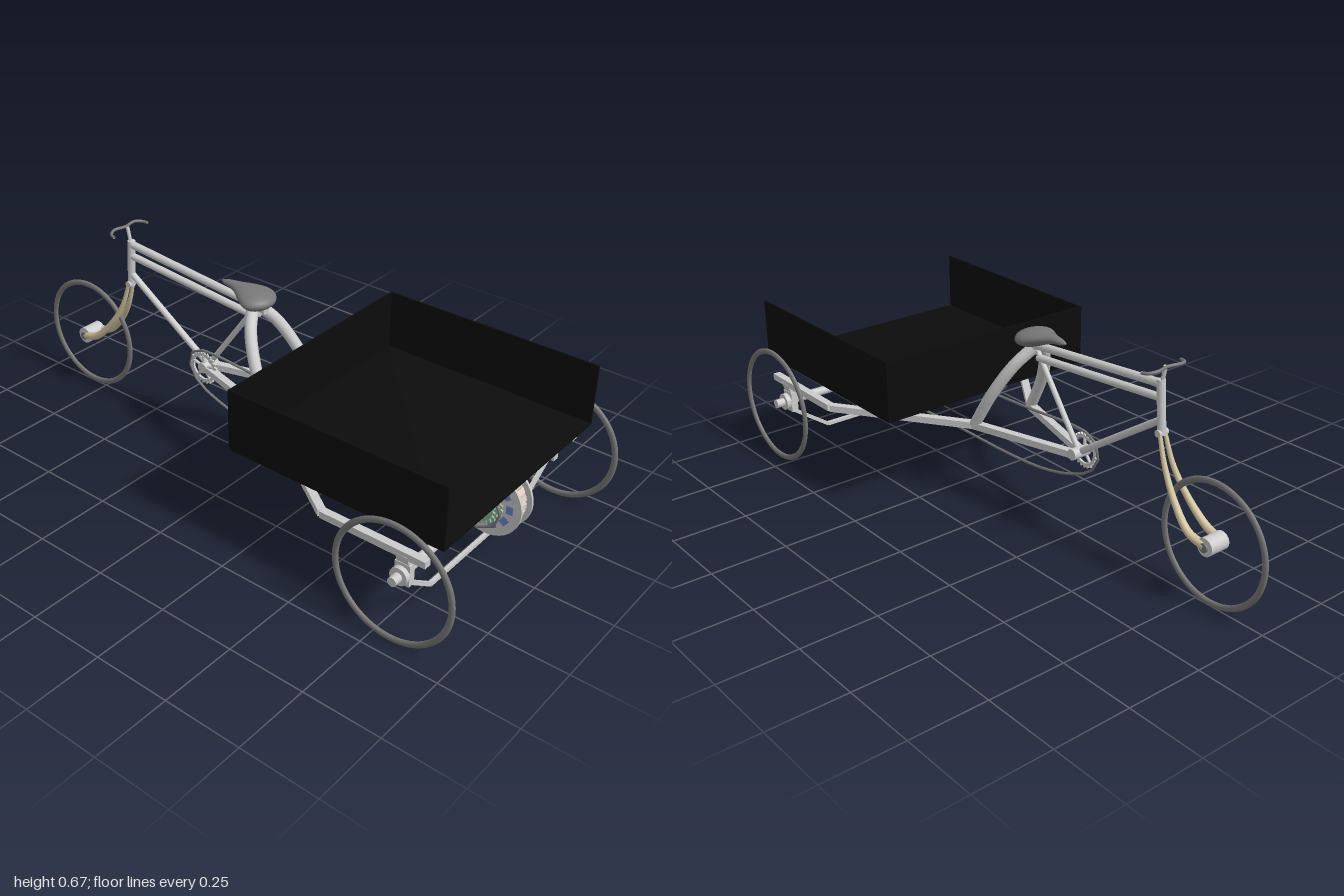
import * as THREE from 'three';

const mat = (color) => new THREE.MeshStandardMaterial({ color, side: THREE.DoubleSide });
const V = (x, y, z) => new THREE.Vector3(x, y, z);

export function createModel() {
  const model = new THREE.Group();
  const grey = mat(0xcccccc), dark = mat(0x777777), black = mat(0x0c0c0c);
  const beige = mat(0xd2c4a0), blue = mat(0x7585d0), green = mat(0x8fb596), pink = mat(0xe0cfc6);

  const add = (name, geo, m = grey, x = 0, y = 0, z = 0) => {
    const mesh = new THREE.Mesh(geo, m);
    mesh.name = name;
    mesh.position.set(x, y, z);
    model.add(mesh);
    return mesh;
  };
  const box = (name, w, h, d, x, y, z, m) => add(name, new THREE.BoxGeometry(w, h, d), m, x, y, z);
  // round rod between two points
  const rod = (name, a, b, r, m) => {
    const mesh = add(name, new THREE.CylinderGeometry(r, r, a.distanceTo(b), 16), m);
    mesh.position.copy(a).lerp(b, 0.5);
    mesh.quaternion.setFromUnitVectors(V(0, 1, 0), b.clone().sub(a).normalize());
  };
  // square bar between two points
  const bar = (name, a, b, w, h, m) => {
    const mesh = add(name, new THREE.BoxGeometry(w, h, a.distanceTo(b)), m);
    mesh.position.copy(a).lerp(b, 0.5);
    mesh.lookAt(b);
  };
  // disc lying across the model, from x0 to x1
  const disc = (name, x0, x1, r, y, z, m, n = 40) =>
    rodX(name, new THREE.CylinderGeometry(r, r, x1 - x0, n), (x0 + x1) / 2, y, z, m);
  const rodX = (name, geo, x, y, z, m) => add(name, geo.rotateZ(Math.PI / 2), m, x, y, z);
  // curved tube whose radius runs from r0 to r1
  const tube = (name, pts, r0, r1, m, closed = false) => {
    const curve = new THREE.CatmullRomCurve3(pts, closed, 'centripetal');
    const n = 48, sides = 12, geo = new THREE.TubeGeometry(curve, n, 1, sides, closed);
    const pos = geo.attributes.position;
    for (let i = 0; i < pos.count; i++) {
      const t = Math.floor(i / (sides + 1)) / n, c = curve.getPointAt(t);
      const p = V(0, 0, 0).fromBufferAttribute(pos, i).sub(c).multiplyScalar(r0 + (r1 - r0) * t).add(c);
      pos.setXYZ(i, p.x, p.y, p.z);
    }
    return add(name, geo, m);
  };

  // wheels: bare tyre rings
  for (const [name, x, z] of [['frontWheel', 0, -0.803], ['cargoWheelLeft', 0.445, 0.805], ['cargoWheelRight', -0.445, 0.805]]) {
    const geo = new THREE.TorusGeometry(0.188, 0.01, 12, 72).scale(1, 1, 0.7).rotateY(Math.PI / 2);
    add(name, geo, dark, x, 0.198, z);
  }

  // cargo tray, open at the tail
  box('trayFloor', 0.79, 0.006, 0.735, 0, 0.333, 0.557, black);
  box('trayEndWall', 0.79, 0.2, 0.006, 0, 0.43, 0.193, black);
  for (const s of [-1, 1]) box('traySideWall', 0.006, 0.2, 0.735, s * 0.392, 0.43, 0.557, black);

  // mirrored chassis rails, axle brackets, seat legs and fork blades
  for (const s of [-1, 1]) {
    const rail = [V(s * 0.015, 0.268, -0.24), V(s * 0.118, 0.268, 0.125), V(s * 0.395, 0.268, 0.53), V(s * 0.395, 0.268, 0.88)];
    for (let i = 0; i < 3; i++) bar('chassisRail', rail[i], rail[i + 1], 0.025, 0.022);
    box('axleBracket', 0.024, 0.07, 0.05, s * 0.388, 0.2, 0.805);
    bar('bracketNeck', V(s * 0.387, 0.23, 0.805), V(s * 0.4, 0.268, 0.805), 0.04, 0.018);
    bar('underBarSide', V(s * 0.39, 0.167, 0.805), V(s * 0.25, 0.07, 0.805), 0.012, 0.012);
    disc('axleCollar', s * 0.41 - 0.008, s * 0.41 + 0.008, 0.028, 0.2, 0.805);
    tube('seatLeg', [V(s * 0.012, 0.555, -0.045), V(s * 0.06, 0.5, -0.012), V(s * 0.1, 0.4, 0.045), V(s * 0.117, 0.27, 0.12)], 0.02, 0.018);
    tube('forkBlade', [V(s * 0.01, 0.47, -0.588), V(s * 0.016, 0.37, -0.622), V(s * 0.026, 0.285, -0.675),
      V(s * 0.034, 0.22, -0.74), V(s * 0.03, 0.2, -0.8)], 0.006, 0.014, beige);
  }
  bar('underBar', V(-0.25, 0.07, 0.805), V(0.25, 0.07, 0.805), 0.012, 0.012);
  rod('axle', V(-0.447, 0.2, 0.805), V(0.447, 0.2, 0.805), 0.0145);
  disc('frontHub', -0.035, 0.035, 0.028, 0.2, -0.803);
  disc('frontHubCap', -0.042, 0.042, 0.014, 0.2, -0.803, dark);

  // bicycle frame
  rod('headTube', V(0, 0.62, -0.577), V(0, 0.455, -0.588), 0.013);
  rod('topTube', V(0, 0.556, 0), V(0, 0.607, -0.578), 0.013);
  rod('secondTube', V(0, 0.522, -0.055), V(0, 0.565, -0.58), 0.012);
  rod('downTube', V(0, 0.498, -0.582), V(0, 0.273, -0.247), 0.011);
  rod('seatTube', V(0, 0.55, -0.045), V(0, 0.273, -0.247), 0.009);
  rod('seatPost', V(0, 0.53, -0.035), V(0, 0.58, -0.03), 0.013);
  rod('forkCrown', V(-0.018, 0.462, -0.588), V(0.018, 0.462, -0.588), 0.011);
  disc('crankShell', -0.032, 0.032, 0.018, 0.273, -0.247);

  // handlebar on its stem
  rod('handlebarStem', V(0, 0.6, -0.578), V(0, 0.664, -0.592), 0.006);
  tube('handlebar', [V(-0.077, 0.658, -0.575), V(-0.07, 0.66, -0.595), V(-0.045, 0.664, -0.608), V(0, 0.664, -0.6),
    V(0.045, 0.664, -0.608), V(0.07, 0.66, -0.595), V(0.077, 0.658, -0.575)], 0.005, 0.005, dark);

  // saddle: sphere widened at the tail and drawn out to a raised nose
  const saddle = new THREE.SphereGeometry(1, 32, 24).rotateX(Math.PI / 2), sp = saddle.attributes.position;
  for (let i = 0; i < sp.count; i++) {
    const z = sp.getZ(i), k = THREE.MathUtils.smoothstep(z, -0.6, 0.75);
    sp.setXYZ(i, sp.getX(i) * (0.02 + 0.062 * k), 0.603 - 0.02 * k + sp.getY(i) * (0.015 + 0.02 * k), -0.08 + z * 0.1);
  }
  saddle.computeVertexNormals();
  add('saddle', saddle, dark);

  // motor drum with end plates and a ring of blue windows
  const cy = 0.2, cz = 0.805;
  disc('drumCore', 0.035, 0.087, 0.093, cy, cz, beige);
  for (let i = 0; i < 24; i++) {
    const a = i / 24 * Math.PI * 2;
    const pad = box('drumPad', 0.04, 0.014, 0.018, 0.061, cy + Math.cos(a) * 0.092, cz + Math.sin(a) * 0.092, pink);
    pad.rotation.x = a;
  }
  for (const x of [0.031, 0.091]) {
    disc('drumPlate', x - 0.004, x + 0.004, 0.113, cy, cz);
    for (let i = 0; i < 10; i++) {
      const a = (i + 0.5) / 10 * Math.PI * 2;
      const pane = box('drumWindow', 0.0095, 0.022, 0.028, x, cy + Math.cos(a) * 0.075, cz + Math.sin(a) * 0.075, blue);
      pane.rotation.x = a;
    }
  }
  disc('drumHub', 0.095, 0.106, 0.046, cy, cz);
  disc('drumHubRing', 0.1, 0.109, 0.03, cy, cz, dark);
  disc('freewheelCollar', -0.048, -0.034, 0.025, cy, cz);
  disc('freewheelSpacer', -0.036, 0.03, 0.02, cy, cz);

  // toothed ring with an open centre and spokes
  const gear = (name, r, inner, teeth, x, y, z, m) => {
    const shape = new THREE.Shape();
    for (let i = 0; i < teeth * 4; i++) {
      const a = i / (teeth * 4) * Math.PI * 2, q = i % 4 < 2 ? r : r - 0.007;
      shape[i ? 'lineTo' : 'moveTo'](Math.cos(a) * q, Math.sin(a) * q);
    }
    shape.holes.push(new THREE.Path().absarc(0, 0, inner, 0, Math.PI * 2, true));
    const geo = new THREE.ExtrudeGeometry(shape, { depth: 0.007, bevelEnabled: false }).rotateY(Math.PI / 2);
    add(name, geo, m, x - 0.0035, y, z);
  };
  gear('cassetteLarge', 0.062, 0.018, 22, 0.012, cy, cz, green);
  gear('cassetteMiddle', 0.058, 0.018, 20, 0.001, cy, cz, green);
  gear('cassetteSmall', 0.05, 0.018, 18, -0.01, cy, cz, green);
  gear('chainring', 0.058, 0.042, 24, -0.022, 0.273, -0.247, grey);
  for (let i = 0; i < 5; i++) {
    const a = i / 5 * Math.PI * 2;
    rod('chainringSpoke', V(-0.022, 0.273, -0.247), V(-0.022, 0.273 + Math.cos(a) * 0.045, -0.247 + Math.sin(a) * 0.045), 0.005);
  }

  // slack chain loop
  const loop = [[0.335, -0.25], [0.32, 0.05], [0.295, 0.5], [0.272, 0.78], [0.25, 0.85], [0.2, 0.872], [0.15, 0.85], [0.127, 0.78],
    [0.122, 0.4], [0.123, 0.12], [0.135, -0.05], [0.165, -0.18], [0.21, -0.275], [0.273, -0.309], [0.32, -0.29]];
  tube('chain', loop.map(([y, z]) => V(z > 0.7 ? -0.012 : -0.022, y, z)), 0.0045, 0.0045, dark, true);

  return model;
}
